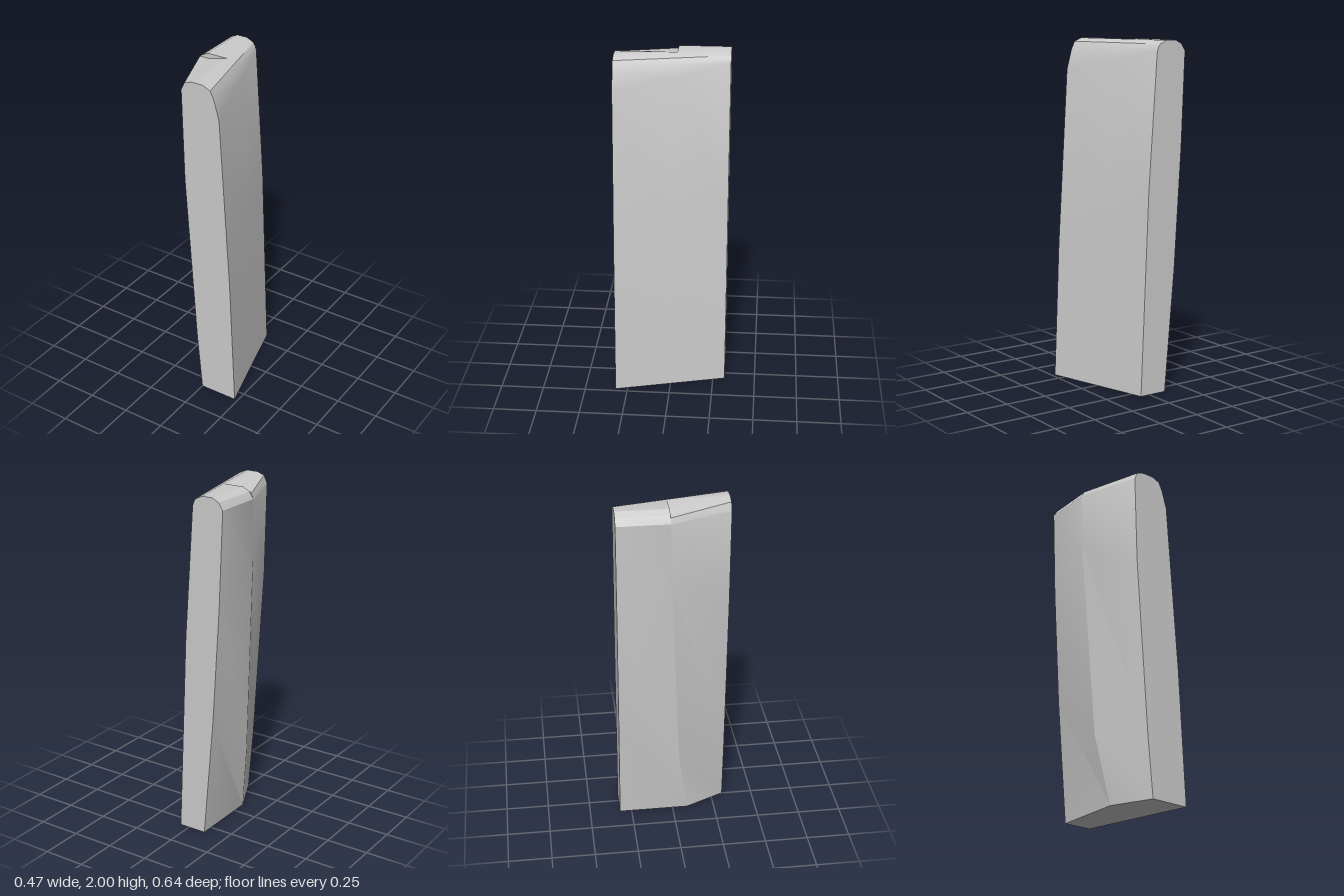
import * as THREE from 'three';
import { toCreasedNormals } from 'three/addons/utils/BufferGeometryUtils.js';

const BACK = -0.32, MID = -0.025, FRONT = 0.32;

// End outlines as [x, y], counter-clockwise seen from the front
const back = [[0.06, 0], [0.01, 1.18], [-0.043, 1.94], [-0.052, 1.965], [-0.062, 1.98], [-0.105, 2],
  [-0.17, 2], [-0.21, 1.98], [-0.235, 1.94], [-0.213, 1.4], [-0.17, 0.71], [-0.108, 0]];
const front = [[0.23, 0], [0.195, 0.8], [0.13, 1.82], [0.1, 1.93], [0.077, 1.98], [0.03, 2],
  [-0.04, 2], [-0.085, 1.985], [-0.107, 1.94], [-0.095, 1.4], [-0.03, 0.35], [0, 0]];

// Bend down the slanted side, as [x, y, z]
const bend = [[-0.235, 1.94, MID], [-0.234, 1.6, -0.02], [-0.17, 0.41, 0.03], [-0.108, 0, 0.09]];

function createBody() {
  const t = (MID - BACK) / (FRONT - BACK);
  const straight = back.slice(0, 6).map(([x, y], i) =>
    [x + (front[i][0] - x) * t, y + (front[i][1] - y) * t, MID]);
  // Two middle sections leave a shallow notch at the top of the bend
  const sections = [
    back.map(([x, y]) => [x, y, BACK]),
    [...straight, [-0.17, 2, MID], [-0.21, 1.98, MID], ...bend],
    [...straight, [-0.16, 1.97, MID], [-0.222, 1.97, MID], ...bend],
    front.map(([x, y]) => [x, y, FRONT]),
  ].map(s => s.map(p => new THREE.Vector3(...p)));

  const positions = [];
  const triangle = (a, b, c) => {
    if (new THREE.Triangle(a, b, c).getArea() < 1e-7) return;
    for (const p of [a, b, c]) positions.push(p.x, p.y, p.z);
  };

  // Skin between neighbouring sections
  const n = back.length;
  for (let s = 0; s < sections.length - 1; s++) {
    const a = sections[s], b = sections[s + 1];
    for (let i = 0; i < n; i++) {
      const j = (i + 1) % n;
      triangle(a[i], a[j], b[j]);
      triangle(a[i], b[j], b[i]);
    }
  }
  // End faces
  const first = sections[0], last = sections[3];
  for (let i = 1; i < n - 1; i++) {
    triangle(first[0], first[i + 1], first[i]);
    triangle(last[0], last[i], last[i + 1]);
  }

  const geometry = new THREE.BufferGeometry();
  geometry.setAttribute('position', new THREE.Float32BufferAttribute(positions, 3));
  return toCreasedNormals(geometry, Math.PI / 7);
}

export function createModel() {
  const group = new THREE.Group();
  group.name = 'slantedSlab';
  const body = new THREE.Mesh(createBody(), new THREE.MeshStandardMaterial({ color: 0xcccccc }));
  body.name = 'body';
  group.add(body);
  return group;
}
